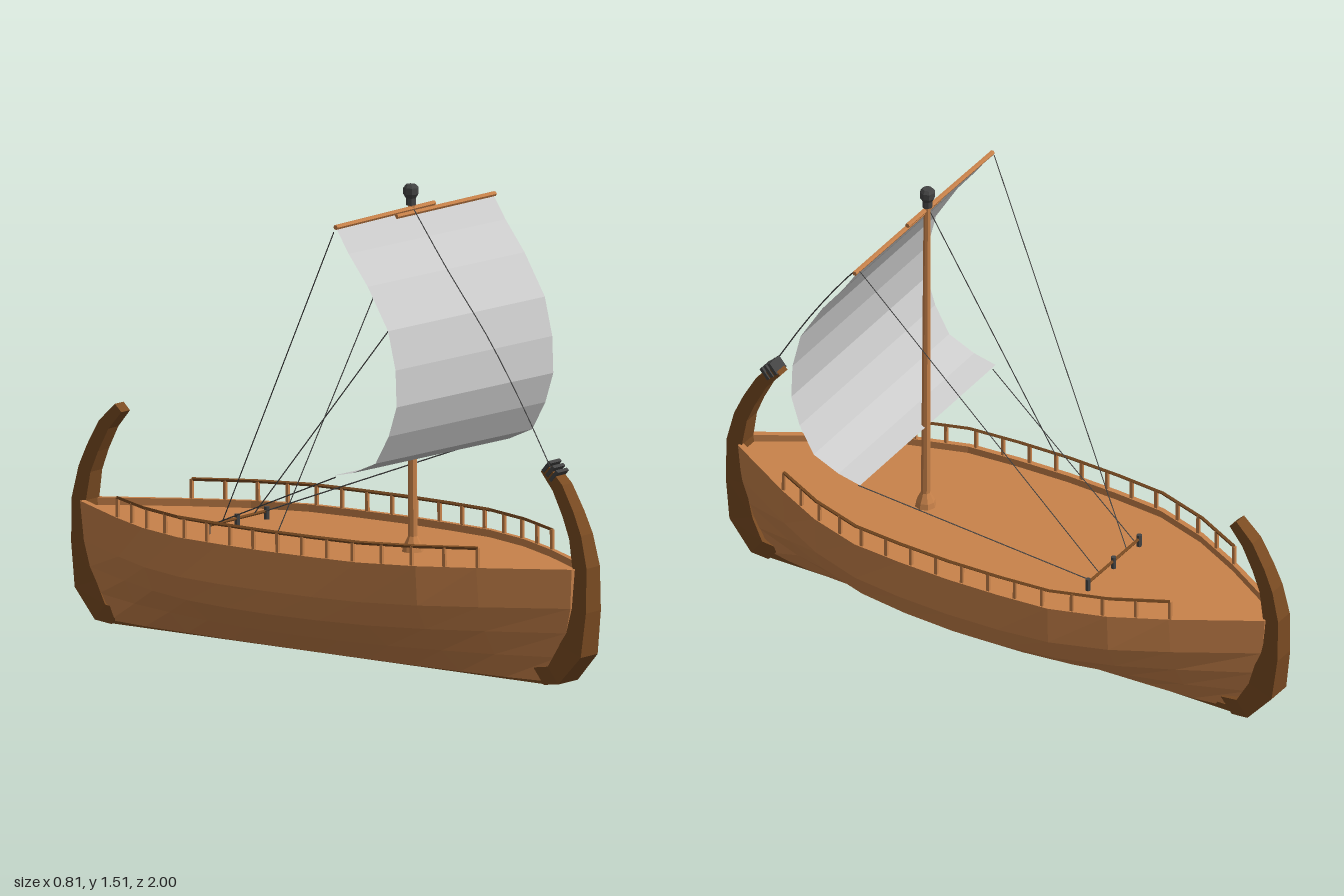
import * as THREE from 'three';

const mat = (color) => new THREE.MeshStandardMaterial({ color, flatShading: true, side: THREE.DoubleSide });
const wood = mat(0xc8824a), darkWood = mat(0x7a4b22), grey = mat(0xcccccc), dark = mat(0x444444);
const V = (x, y, z) => new THREE.Vector3(x, y, z);

function add(parent, name, geometry, material, x = 0, y = 0, z = 0) {
  const mesh = new THREE.Mesh(geometry, material);
  mesh.name = name;
  mesh.position.set(x, y, z);
  parent.add(mesh);
  return mesh;
}

// Skin over closed cross-sections of equal length, with strip-filled ends
function loft(sections) {
  const n = sections[0].length, index = [];
  for (let s = 0; s < sections.length - 1; s++) {
    for (let i = 0; i < n; i++) {
      const a = s * n + i, b = s * n + (i + 1) % n;
      index.push(a, b, a + n, b, b + n, a + n);
    }
  }
  for (const [base, flip] of [[0, true], [(sections.length - 1) * n, false]]) {
    for (let i = 0; i < n / 2 - 1; i++) {
      const [a, b, c, d] = [i, i + 1, n - 2 - i, n - 1 - i].map((k) => base + k);
      index.push(...(flip ? [a, c, b, a, d, c] : [a, b, c, a, c, d]));
    }
  }
  const g = new THREE.BufferGeometry();
  g.setAttribute('position', new THREE.Float32BufferAttribute(sections.flat(2), 3));
  g.setIndex(index);
  g.computeVertexNormals();
  return g;
}

// Straight spar between two points
function spar(parent, name, a, b, radius, material, sides = 6) {
  const d = b.clone().sub(a);
  const mesh = add(parent, name, new THREE.CylinderGeometry(radius, radius, d.length(), sides), material);
  mesh.position.copy(a).add(b).multiplyScalar(0.5);
  mesh.quaternion.setFromUnitVectors(V(0, 1, 0), d.normalize());
  return mesh;
}

function rope(parent, name, ...points) {
  const curve = new THREE.CatmullRomCurve3(points);
  add(parent, name, new THREE.TubeGeometry(curve, points.length > 2 ? 12 : 1, 0.002, 4), dark);
}

const RIM = 0.375, DECK = 0.352;
const levels = [0.01, 0.09, 0.17, 0.25, RIM];
// Half-widths of the hull at each level, from the middle to an end
const stations = [
  [0, 0.07, 0.22, 0.33, 0.365, 0.362],
  [0.18, 0.068, 0.212, 0.32, 0.358, 0.356],
  [0.35, 0.065, 0.19, 0.295, 0.337, 0.342],
  [0.53, 0.058, 0.15, 0.235, 0.276, 0.284],
  [0.7, 0.05, 0.105, 0.155, 0.185, 0.197],
  [0.95, 0.03, 0.033, 0.036, 0.04, 0.046],
];
const endZ = [0.85, 0.89, 0.925, 0.945, 0.955];

function hullSection(st, side) {
  const isEnd = st[0] > 0.9;
  const half = levels.map((y, i) => [st[i + 1], y, side * (isEnd ? endZ[i] : st[0])]);
  const inner = st[5] - 0.018, z = side * (isEnd ? 0.945 : st[0]);
  half.push([inner, RIM, z], [inner, DECK, z]);
  return [...half, ...half.slice().reverse().map(([x, y, zz]) => [-x, y, zz])];
}

function beamAt(z) {
  const a = Math.abs(z);
  const i = Math.max(1, stations.findIndex((s) => s[0] >= a - 1e-6));
  const [p, q] = [stations[i - 1], stations[i]];
  return THREE.MathUtils.lerp(p[5], q[5], (a - p[0]) / (q[0] - p[0]));
}

// Curved end post: outer z, y, inner z, y, half-width
const stemRows = [
  [0.84, 0, 0.8, 0.05, 0.045], [0.9, 0.008, 0.86, 0.06, 0.05],
  [0.983, 0.1, 0.9, 0.13, 0.043], [1, 0.24, 0.93, 0.24, 0.038],
  [1, 0.38, 0.945, 0.375, 0.034], [0.976, 0.48, 0.93, 0.465, 0.03],
  [0.945, 0.55, 0.902, 0.533, 0.027], [0.9, 0.63, 0.863, 0.608, 0.025],
  [0.84, 0.688, 0.815, 0.664, 0.022],
];

export function createModel() {
  const model = new THREE.Group();
  model.name = 'sailingShip';
  const ship = new THREE.Group();
  ship.name = 'ship';
  ship.rotation.x = -0.005;
  ship.position.y = 0.005;
  model.add(ship);

  // Hull with rim and sunken deck
  const sections = [
    ...stations.slice(1).reverse().map((s) => hullSection(s, -1)),
    ...stations.map((s) => hullSection(s, 1)),
  ];
  add(ship, 'hull', loft(sections), wood, -0.005);
  add(ship, 'keel', new THREE.BoxGeometry(0.07, 0.02, 1.7), darkWood, 0, 0.01, 0);

  // Bow and stern posts
  const stem = loft(stemRows.map(([zo, yo, zi, yi, w]) =>
    [[w, yo, zo], [w, yi, zi], [-w, yi, zi], [-w, yo, zo]]));
  add(ship, 'bowPost', stem, darkWood);
  add(ship, 'sternPost', stem, darkWood).rotation.y = Math.PI;
  for (let i = 0; i < 3; i++) {
    const wrap = add(ship, 'bowLashing', new THREE.BoxGeometry(0.056, 0.011, 0.042), dark,
      0, 0.682 - i * 0.013, 0.84 + i * 0.014);
    wrap.rotation.x = -0.85;
  }

  // Railings along both sides
  for (const side of [-1, 1]) {
    const railing = new THREE.Group();
    railing.name = side > 0 ? 'leftRailing' : 'rightRailing';
    ship.add(railing);
    const at = (z, y) => V(side * (beamAt(z) - 0.009) - 0.005, y, z);
    const count = 15;
    for (let i = 0; i <= count; i++) {
      const p = at(-0.7 + 1.4 * i / count, 0.403);
      add(railing, 'railPost', new THREE.BoxGeometry(0.01, 0.066, 0.01), wood, p.x, p.y, p.z);
    }
    const stops = [-0.7, -0.53, -0.35, -0.18, 0, 0.18, 0.35, 0.53, 0.7];
    for (let i = 1; i < stops.length; i++) {
      spar(railing, 'handRail', at(stops[i - 1], 0.436), at(stops[i], 0.436), 0.006, darkWood, 4);
    }
  }

  // Mast with flared foot and dark cap
  const mast = [[0.034, 0.35], [0.03, 0.37], [0.015, 0.4], [0.013, 0.9], [0.011, 1.47]];
  add(ship, 'mast', new THREE.LatheGeometry(mast.map(([r, y]) => new THREE.Vector2(r, y)), 8), wood, -0.004, 0, 0.302);
  const cap = [[0, 1.44], [0.016, 1.44], [0.016, 1.462], [0.024, 1.475], [0.024, 1.495], [0.016, 1.505], [0, 1.505]];
  add(ship, 'mastCap', new THREE.LatheGeometry(cap.map(([r, y]) => new THREE.Vector2(r, y)), 8), dark, -0.006, 0, 0.302);

  // Billowing sail hung from two overlapping spars, leaning slightly
  const rig = new THREE.Group();
  rig.name = 'sailRig';
  rig.position.y = 1.03;
  rig.rotation.z = -0.018;
  ship.add(rig);
  const profile = [[1.42, 0.305], [1.345, 0.355], [1.25, 0.43], [1.12, 0.51], [1, 0.54],
    [0.885, 0.545], [0.79, 0.515], [0.7, 0.465], [0.66, 0.375], [0.643, 0.297]];
  const sail = new THREE.PlaneGeometry(0.795, 1, 4, profile.length - 1);
  const pos = sail.attributes.position;
  for (let i = 0; i < pos.count; i++) {
    const [y, z] = profile[Math.floor(i / 5)];
    pos.setY(i, y - 1.03);
    pos.setZ(i, z);
  }
  sail.computeVertexNormals();
  add(rig, 'sail', sail, grey);
  spar(rig, 'rightYard', V(-0.4, 0.392, 0.305), V(0.1, 0.401, 0.305), 0.008, wood);
  spar(rig, 'leftYard', V(-0.1, 0.386, 0.311), V(0.4, 0.39, 0.311), 0.008, wood);

  // Belaying bar on the aft deck
  for (const x of [-0.15, 0, 0.15]) {
    add(ship, 'barPost', new THREE.CylinderGeometry(0.009, 0.009, 0.04, 6), dark, x - 0.004, 0.372, -0.38);
  }
  spar(ship, 'belayingBar', V(-0.16, 0.378, -0.38), V(0.15, 0.378, -0.38), 0.005, darkWood);

  // Rigging
  for (const s of [-1, 1]) {
    rope(ship, 'yardBrace', V(s * 0.395 - 0.007, 1.415, 0.305), V(s * 0.08, 0.378, -0.38));
    rope(ship, 'sheet', V(s * 0.395 + 0.007, 0.643, 0.297), V(s * 0.13, 0.378, -0.38));
  }
  rope(ship, 'shroud', V(-0.006, 1.44, 0.302), V(-0.345, 0.436, 0.04));
  rope(ship, 'forestay', V(-0.005, 1.43, 0.31), V(-0.012, 1.25, 0.45), V(-0.02, 1.06, 0.61),
    V(-0.028, 0.87, 0.745), V(-0.03, 0.68, 0.86));

  return model;
}
